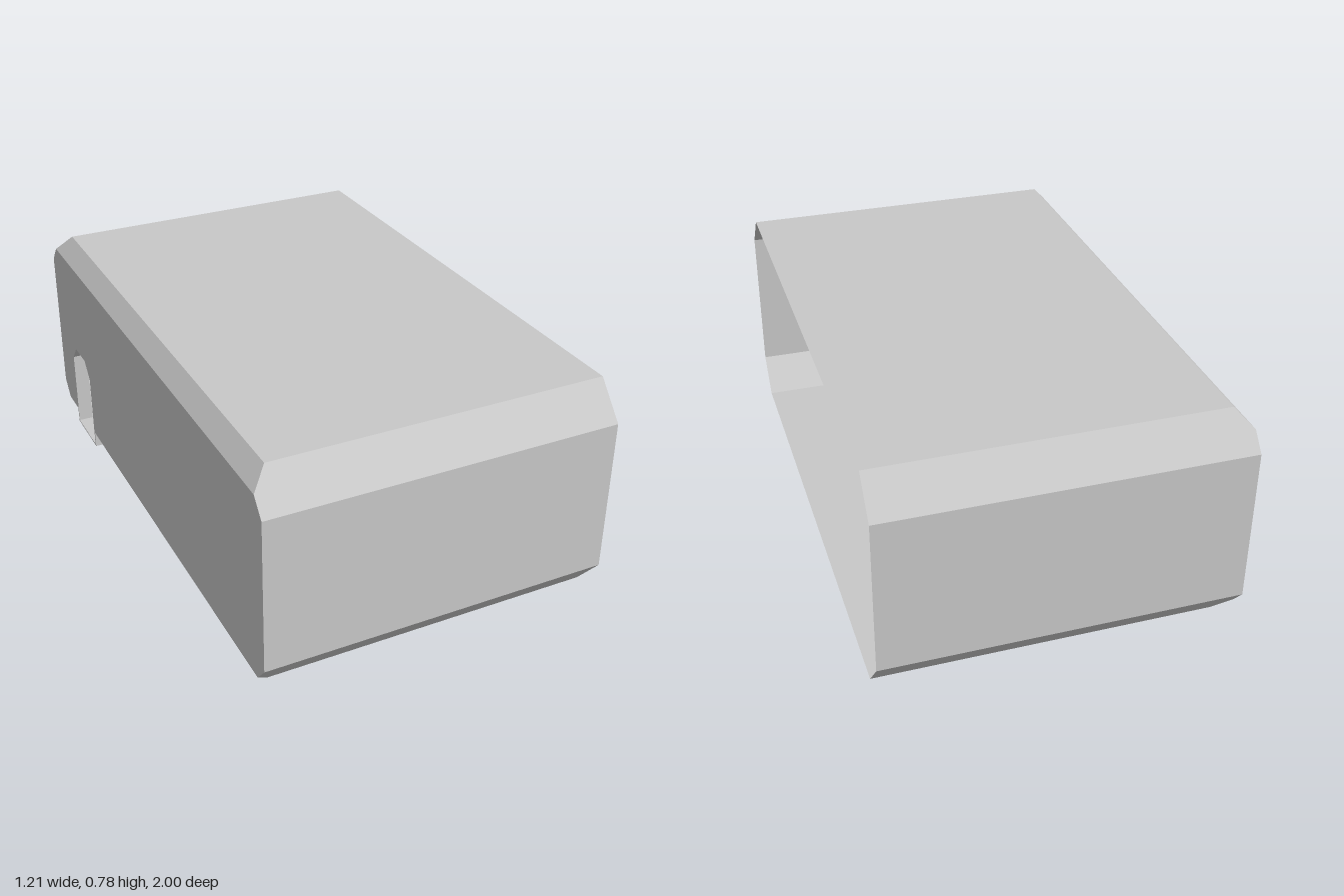
import * as THREE from 'three';

const W = 0.605, H = 0.78, XI = -0.55; // half width, height, inner edge of the end chamfer

export function createModel() {
  const group = new THREE.Group();
  const grey = new THREE.MeshStandardMaterial({ color: 0xc8c8c8, side: THREE.DoubleSide });
  grey.name = 'wall grey';

  const add = (name, geometry) => {
    const mesh = new THREE.Mesh(geometry, grey);
    mesh.name = name;
    group.add(mesh);
    return mesh;
  };

  // Flat convex panel from its corners, counter-clockwise seen from outside
  const panel = (name, pts) => {
    const pos = [];
    for (let i = 1; i < pts.length - 1; i++) pos.push(...pts[0], ...pts[i], ...pts[i + 1]);
    const g = new THREE.BufferGeometry();
    g.setAttribute('position', new THREE.Float32BufferAttribute(pos, 3));
    g.computeVertexNormals();
    return add(name, g);
  };

  // Floor and ceiling
  panel('floor', [[W, 0, -0.9], [W, 0, 0.9], [XI, 0, 0.9], [XI, 0, -0.9]]);
  panel('ceiling', [[W, H, 0.9], [W, H, -0.9], [XI, H, -0.9], [XI, H, 0.9]]);

  // Front and back walls with their lower and upper chamfers
  for (const s of [1, -1]) {
    const side = s > 0 ? 'front' : 'back';
    const mirrored = (name, pts) => {
      const p = pts.map(([x, y, z]) => [x, y, z * s]);
      panel(side + name, s > 0 ? p : p.reverse());
    };
    mirrored('LowerChamfer', [[W, 0, 0.9], [W, 0.12, 1], [-W, 0.12, 1], [-W, 0.06, 0.95], [XI, 0, 0.9]]);
    mirrored('Wall', [[W, 0.12, 1], [W, 0.66, 1], [-W, 0.66, 1], [-W, 0.12, 1]]);
    mirrored('UpperChamfer', [[W, 0.66, 1], [W, H, 0.9], [XI, H, 0.9], [-W, 0.72, 0.95], [-W, 0.66, 1]]);
  }

  // End wall chamfers, the lower one interrupted by the doorway
  const D0 = -0.845, D1 = -0.625;
  panel('endUpperChamfer', [[-W, 0.72, -0.95], [-W, 0.72, 0.95], [XI, H, 0.9], [XI, H, -0.9]]);
  const lower = (inner0, outer0, inner1, outer1) => panel('endLowerChamfer',
    [[XI, 0, inner0], [XI, 0, inner1], [-W, 0.06, outer1], [-W, 0.06, outer0]]);
  lower(-0.9, -0.95, D0, D0);
  lower(D1, D1, 0.9, 0.95);

  // End wall outlined in (z, y), with the doorway notched into its lower edge
  const arch = [[D0, 0.3], [-0.795, 0.36], [-0.68, 0.36], [D1, 0.3]];
  const toShape = (pts) => new THREE.Shape(pts.map(([a, b]) => new THREE.Vector2(a, b)));
  const wall = new THREE.ShapeGeometry(toShape([
    [-0.95, 0.06], [D0, 0.06], ...arch, [D1, 0.06], [0.95, 0.06], [1, 0.12],
    [1, 0.66], [0.95, 0.72], [-0.95, 0.72], [-1, 0.66], [-1, 0.12],
  ]));
  wall.rotateY(-Math.PI / 2).translate(-W, 0, 0);
  add('endWall', wall);

  // Door frame: a short thin-walled passage with a sill
  const frame = toShape([[D0, 0], ...arch, [D1, 0]]);
  frame.holes.push(toShape([[D0 + 0.005, 0.005], [D0 + 0.005, 0.297], [-0.793, 0.354],
    [-0.683, 0.354], [D1 - 0.008, 0.297], [D1 - 0.008, 0.005]]));
  const frameGeo = new THREE.ExtrudeGeometry(frame, { depth: 0.055, bevelEnabled: false });
  frameGeo.rotateY(-Math.PI / 2).translate(XI, 0, 0);
  add('doorFrame', frameGeo);

  // Two eight-sided ceiling panels with a bevelled lower rim
  const octagon = (inset, y) => {
    const hx = 0.218 - inset, hz = 0.227 - inset, c = 0.065 - inset * 0.58;
    return [[hx, hz - c], [hx, c - hz], [hx - c, -hz], [c - hx, -hz],
      [-hx, c - hz], [-hx, hz - c], [c - hx, hz], [hx - c, hz]].map(([x, z]) => [x, y, z]);
  };
  const rings = [octagon(0, H - 0.001), octagon(0, 0.755), octagon(0.012, 0.743)];
  const pos = [];
  for (let r = 0; r < 2; r++) {
    for (let i = 0; i < 8; i++) {
      const j = (i + 1) % 8, a = rings[r], b = rings[r + 1];
      pos.push(...a[i], ...a[j], ...b[j], ...a[i], ...b[j], ...b[i]);
    }
  }
  const base = rings[2];
  for (let i = 1; i < 7; i++) pos.push(...base[0], ...base[i + 1], ...base[i]);
  const lamp = new THREE.BufferGeometry();
  lamp.setAttribute('position', new THREE.Float32BufferAttribute(pos, 3));
  // Keep every face wound outward
  const p = lamp.attributes.position, mid = new THREE.Vector3(0, 0.765, 0);
  const [a, b, c] = [0, 1, 2].map(() => new THREE.Vector3());
  for (let i = 0; i < p.count; i += 3) {
    [a, b, c].forEach((v, k) => v.fromBufferAttribute(p, i + k));
    const n = b.clone().sub(a).cross(c.clone().sub(a));
    if (n.dot(a.clone().sub(mid)) < 0) {
      p.setXYZ(i + 1, c.x, c.y, c.z);
      p.setXYZ(i + 2, b.x, b.y, b.z);
    }
  }
  lamp.computeVertexNormals();
  for (const z of [0.373, -0.373]) add('ceilingPanel', lamp).position.set(-0.111, 0, z);

  return group;
}
